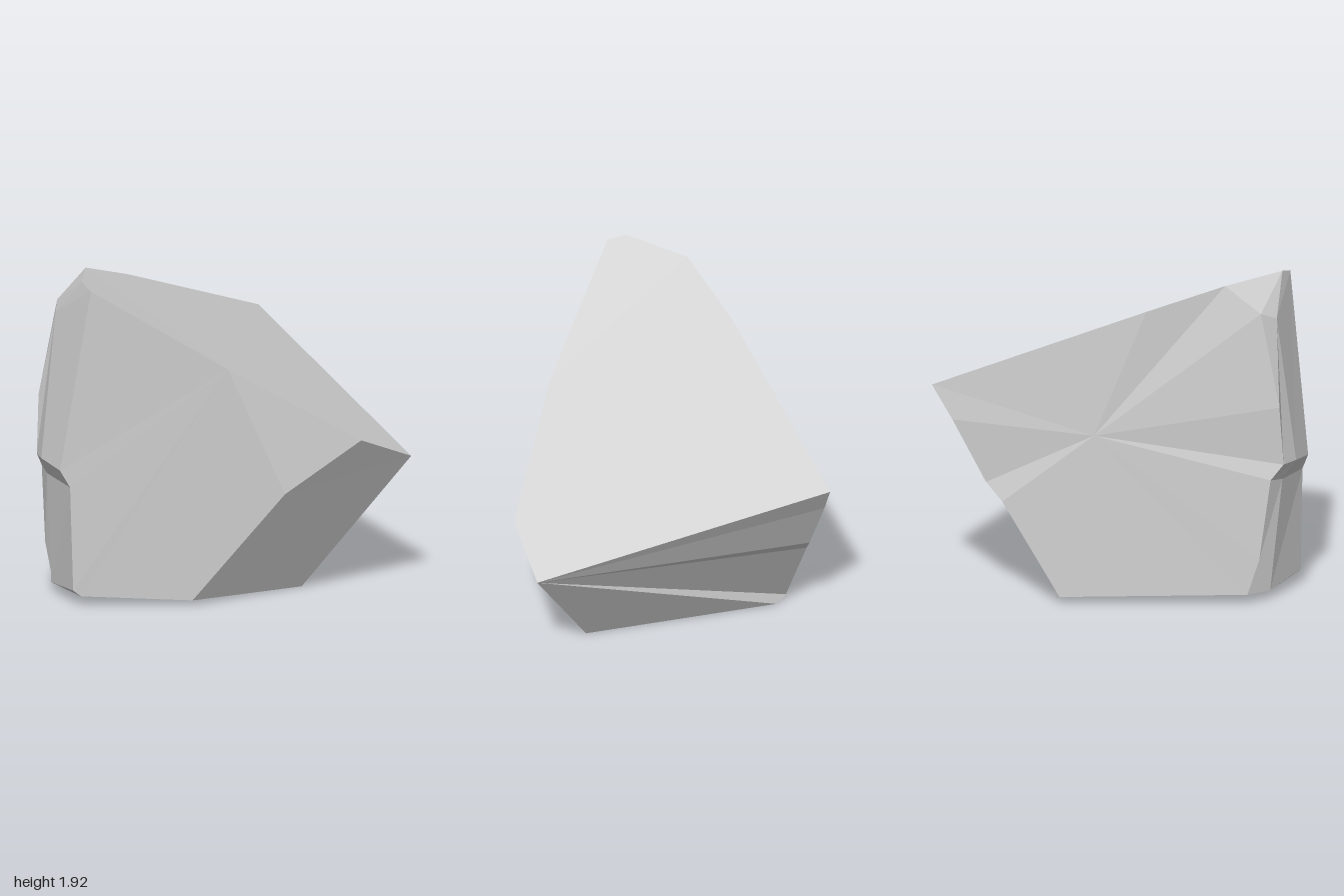
import * as THREE from 'three';

// Outlines of the rock's main faces, each a short run of corners
const frontRim = [[-0.83, 1.89, 0.27], [-0.985, 0.81, 0.18], [-0.935, 0.71, 0.21], [-0.92, 0.09, 0.22], [-0.88, 0.055, 0.24], [-0.31, 0.03, 0.55], [0.16, 0.67, 0.81], [-0.13, 1.42, 0.65]];
const [peak, bulgeFront, notchFront, footFront, toeFront, baseFront, chin, brow] = frontRim;
const nose = [0.61, 0.96, 0.91], shoulder = [1.0, 0.79, 0.80], keel = [0.45, 0.0, 0.48], heel = [0.25, 0.01, -0.64];

// Top ridge, running from the peak to the back corner
const ridge = [[-0.83, 1.92, 0.16], [-0.62, 1.90, -0.18], [-0.22, 1.755, -0.405], [0.92, 1.305, -0.91]];
const [crest, ridgeStart, ridgeMid, backCorner] = ridge;

// Edge between the back and the right-hand cut, from top to bottom
const backEdge = [[0.80, 1.10, -0.885], [0.62, 0.72, -0.81], [0.52, 0.61, -0.80], [0.20, 0.04, -0.70]];

// Narrow end: rear edge from bottom to top, then the corners beside it
const rearEdge = [[-0.80, 0.06, -0.265], [-0.86, 0.27, -0.23], [-0.91, 0.75, -0.18], [-0.97, 0.84, -0.13], [-0.95, 1.19, -0.145], [-0.83, 1.745, -0.14]];
const [rearToe, rearFoot, rearNotch, rearBulge, rearWaist, rearTop] = rearEdge;
const sideTop = [-0.89, 1.70, -0.05], sideBulge = [-1.0, 0.84, -0.02];
const sideNotch = [-0.935, 0.73, -0.07], sideToe = [-0.88, 0.055, -0.12];
const backCentre = [0.04, 1.01, -0.57];

// Flat facet fanned from one corner; closed also joins the last point to the first
function fan(hub, rim, closed = false) {
  const out = [], n = closed ? rim.length : rim.length - 1;
  for (let i = 0; i < n; i++) out.push(...hub, ...rim[i], ...rim[(i + 1) % rim.length]);
  return out;
}

const facet = (...corners) => fan(corners[0], corners.slice(1));

export function createModel() {
  const group = new THREE.Group();
  group.name = 'rock';
  const material = new THREE.MeshStandardMaterial({ color: 0xcccccc, flatShading: true });

  const faces = [
    // Sloping top
    facet(brow, nose, shoulder, backCorner, ridgeMid, ridgeStart, crest, peak),
    // Front
    fan(brow, frontRim.slice(0, 7)),
    facet(brow, chin, nose),
    facet(chin, baseFront, keel, shoulder, nose),
    // Broad cut side
    facet(shoulder, keel, heel, ...[...backEdge].reverse(), backCorner),
    // Underside
    facet(baseFront, toeFront, sideToe, rearToe, backEdge[3], heel, keel),
    // Back, radiating from its centre
    fan(backCentre, [...ridge.slice(1), ...backEdge, ...rearEdge], true),
    // Narrow end above the notch
    facet(peak, crest, sideTop, sideBulge, bulgeFront),
    facet(crest, ridgeStart, rearTop, sideTop),
    facet(sideTop, rearTop, rearWaist),
    facet(sideTop, rearWaist, rearBulge, sideBulge),
    // Notch
    facet(bulgeFront, sideBulge, sideNotch, notchFront),
    facet(sideBulge, rearBulge, rearNotch, sideNotch),
    // Narrow end below the notch
    facet(notchFront, sideNotch, sideToe, footFront),
    facet(footFront, sideToe, toeFront),
    facet(sideNotch, rearNotch, rearFoot, rearToe, sideToe),
  ];

  const geometry = new THREE.BufferGeometry();
  geometry.setAttribute('position', new THREE.Float32BufferAttribute(faces.flat(), 3));
  geometry.computeVertexNormals();
  const body = new THREE.Mesh(geometry, material);
  body.name = 'rockBody';
  group.add(body);
  return group;
}
